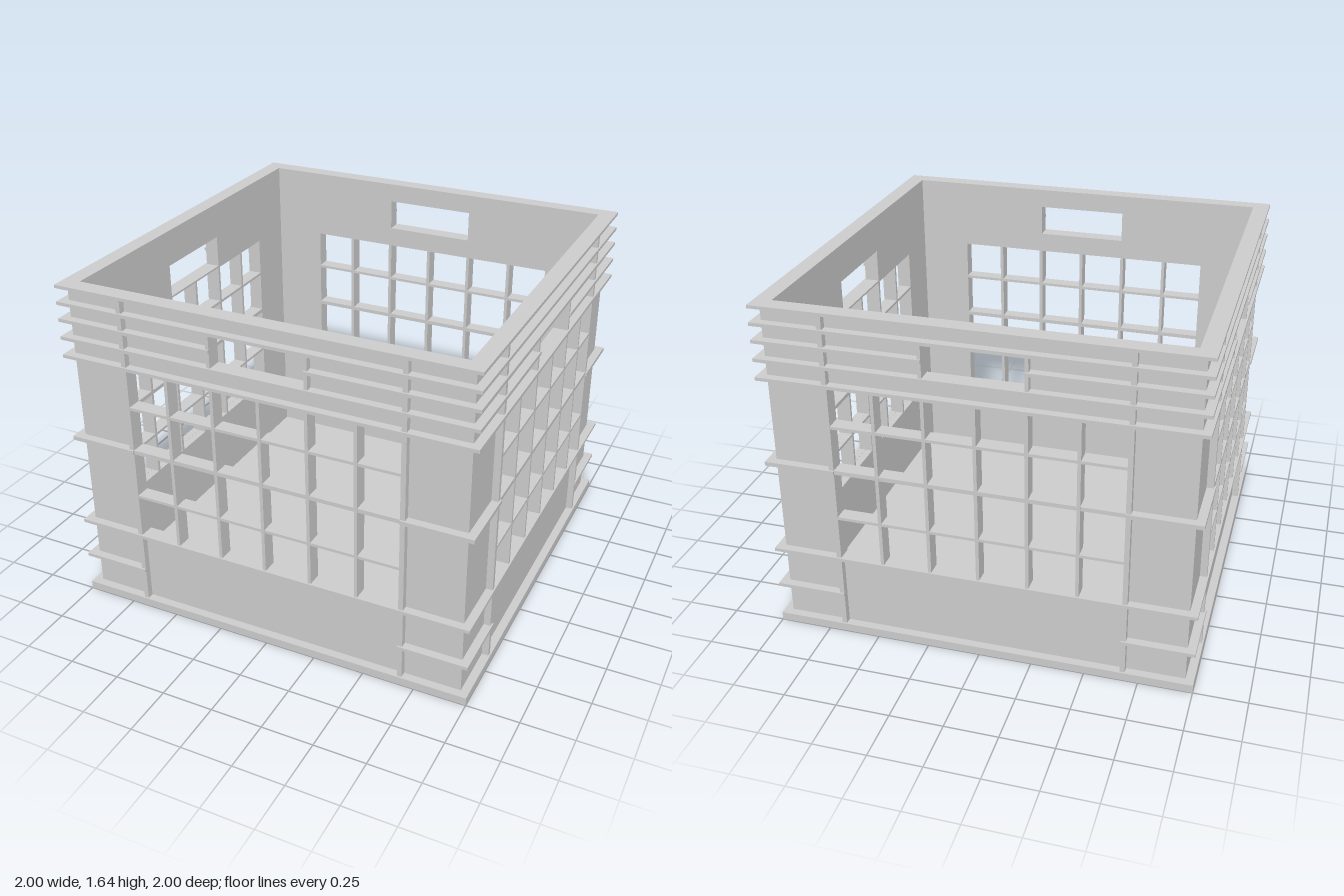
import * as THREE from 'three';

const INNER = 0.92, SKIN = 0.96, VERT = 0.992, OUT = 1.0, TOP = 1.645, BASE = 0.04;
const WIN = { x: 0.665, y0: 0.412, y1: 1.295 };
const material = new THREE.MeshStandardMaterial({ color: 0xcccccc, flatShading: true });

// Box given by its limits on each axis
function block(name, x0, x1, y0, y1, z0, z1) {
  const geometry = new THREE.BoxGeometry(x1 - x0, y1 - y0, z1 - z0);
  geometry.translate((x0 + x1) / 2, (y0 + y1) / 2, (z0 + z1) / 2);
  const mesh = new THREE.Mesh(geometry, material);
  mesh.name = name;
  return mesh;
}

function rectangle(Type, x0, x1, y0, y1) {
  return new Type([[x0, y0], [x1, y0], [x1, y1], [x0, y1]].map(p => new THREE.Vector2(...p)));
}

// One wall facing +z; wide walls own the corners, the others butt against them
function createWall(name, wide, handleY0, handleY1) {
  const wall = new THREE.Group();
  wall.name = name;
  const end = wide ? SKIN : INNER;
  const ribEnd = wide ? OUT : SKIN;

  // Panel with lattice window and hand hole
  const shape = rectangle(THREE.Shape, -end, end, BASE, TOP - 0.015);
  shape.holes.push(rectangle(THREE.Path, -WIN.x, WIN.x, WIN.y0, WIN.y1));
  shape.holes.push(rectangle(THREE.Path, -0.225, 0.225, handleY0, handleY1));
  const geometry = new THREE.ExtrudeGeometry(shape, { depth: SKIN - INNER, bevelEnabled: false });
  geometry.translate(0, 0, INNER);
  const panel = new THREE.Mesh(geometry, material);
  panel.name = 'panel';
  wall.add(panel);

  // Horizontal ribs, broken at the hand hole
  for (const y of [0.405, 1.297, 1.387, 1.475, 1.557]) {
    const a = y - 0.008, b = y + 0.008;
    if (y > handleY0 + 0.02 && y < handleY1 - 0.02) {
      wall.add(block('upperRib', -ribEnd, -0.225, a, b, SKIN, OUT));
      wall.add(block('upperRib', 0.225, ribEnd, a, b, SKIN, OUT));
    } else {
      wall.add(block('rib', -ribEnd, ribEnd, a, b, SKIN, OUT));
    }
  }

  for (const s of [-1, 1]) {
    const mirrored = (label, a, b, y0, y1, z0, z1) =>
      wall.add(block(label, Math.min(s * a, s * b), Math.max(s * a, s * b), y0, y1, z0, z1));
    // Short corner ribs, post edging and hand hole edging
    mirrored('cornerRib', WIN.x, ribEnd, 0.197, 0.213, SKIN, OUT);
    mirrored('cornerRib', WIN.x, ribEnd, 0.86, 0.88, SKIN, OUT);
    mirrored('postRib', WIN.x, 0.688, BASE, TOP - 0.015, SKIN, VERT);
    mirrored('handleRib', 0.225, 0.241, handleY0, handleY1, SKIN, VERT);
  }

  // Open lattice
  for (const x of [-0.46, -0.23, 0, 0.23, 0.46]) {
    wall.add(block('latticeUpright', x - 0.008, x + 0.008, WIN.y0, WIN.y1, INNER, VERT));
  }
  for (const [y, t] of [[0.628, 0.007], [0.87, 0.01], [1.097, 0.007]]) {
    wall.add(block('latticeBar', -WIN.x, WIN.x, y - t, y + t, INNER, VERT - 0.001));
  }
  return wall;
}

export function createModel() {
  const crate = new THREE.Group();
  crate.name = 'crate';

  // Solid floor with projecting edge
  crate.add(block('floor', -OUT, OUT, 0, BASE, -OUT, OUT));

  // Four walls: high hand holes front and back, lower ones on the sides
  ['frontWall', 'leftWall', 'backWall', 'rightWall'].forEach((name, i) => {
    const wide = i % 2 === 0;
    const wall = wide ? createWall(name, true, 1.395, 1.549) : createWall(name, false, 1.305, 1.467);
    wall.rotation.y = i * Math.PI / 2;
    crate.add(wall);
  });

  // Flat top rim
  const rimShape = rectangle(THREE.Shape, -OUT, OUT, -OUT, OUT);
  rimShape.holes.push(rectangle(THREE.Path, -INNER, INNER, -INNER, INNER));
  const rimGeometry = new THREE.ExtrudeGeometry(rimShape, { depth: 0.015, bevelEnabled: false });
  rimGeometry.rotateX(-Math.PI / 2);
  rimGeometry.translate(0, TOP - 0.015, 0);
  const rim = new THREE.Mesh(rimGeometry, material);
  rim.name = 'topRim';
  crate.add(rim);

  return crate;
}
